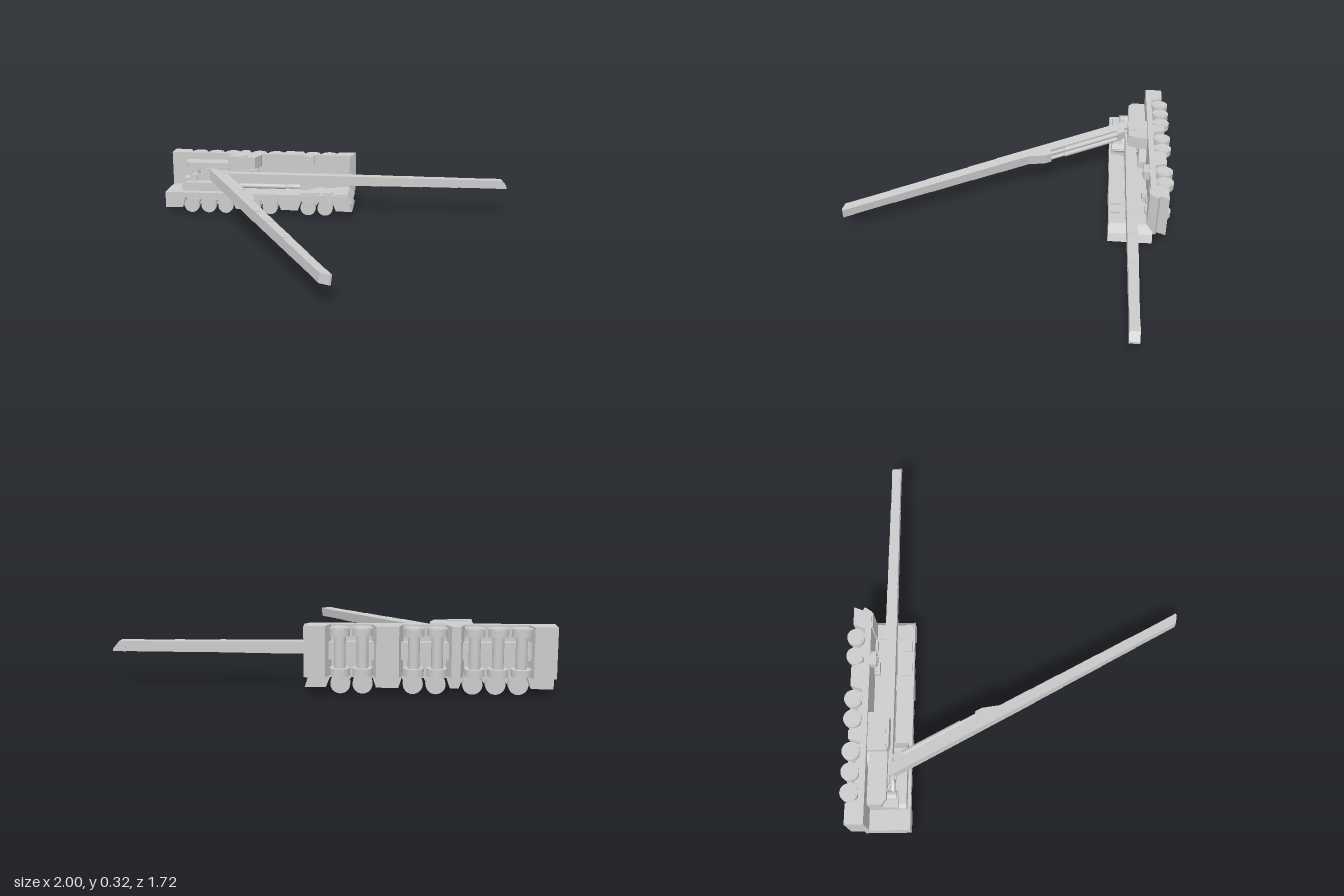
import * as THREE from 'three';

const grey = new THREE.MeshStandardMaterial({ color: 0xcccccc, flatShading: true });
const smooth = new THREE.MeshStandardMaterial({ color: 0xcccccc });

function add(parent, name, geometry, material = grey) {
  const mesh = new THREE.Mesh(geometry, material);
  mesh.name = name;
  parent.add(mesh);
  return mesh;
}

// Box given by its limits on each axis
function box(parent, name, [x0, x1], [y0, y1], [z0, z1]) {
  const mesh = add(parent, name, new THREE.BoxGeometry(x1 - x0, y1 - y0, z1 - z0));
  mesh.position.set((x0 + x1) / 2, (y0 + y1) / 2, (z0 + z1) / 2);
  return mesh;
}

// Side outline extruded across the width from z0 to z1
function plate(parent, name, points, z0, z1) {
  const shape = new THREE.Shape(points.map(([x, y]) => new THREE.Vector2(x, y)));
  const mesh = add(parent, name, new THREE.ExtrudeGeometry(shape, { depth: z1 - z0, bevelEnabled: false }));
  mesh.position.z = z0;
  return mesh;
}

// Cylinder between two points
function rod(parent, name, a, b, radius, sides = 16) {
  const start = new THREE.Vector3(...a), end = new THREE.Vector3(...b);
  const dir = end.clone().sub(start);
  const mesh = add(parent, name, new THREE.CylinderGeometry(radius, radius, dir.length(), sides), smooth);
  mesh.position.copy(start).add(end).multiplyScalar(0.5);
  mesh.quaternion.setFromUnitVectors(new THREE.Vector3(0, 1, 0), dir.normalize());
  return mesh;
}

function makeCarrier() {
  const carrier = new THREE.Group();
  carrier.name = 'carrier';

  // Hull with three wheel wells and a sloped windscreen
  plate(carrier, 'hull', [
    [-1, 0.03], [-0.9, 0.03], [-0.88, 0.092], [-0.6, 0.092], [-0.58, 0.03],
    [-0.54, 0.03], [-0.52, 0.092], [-0.33, 0.092], [-0.31, 0.03],
    [-0.21, 0.03], [-0.19, 0.092], [-0.01, 0.092], [0.015, 0.03],
    [0.11, 0.03], [0.092, 0.075], [0.11, 0.085], [0.085, 0.122], [-1, 0.122],
  ], -0.115, 0.115);
  plate(carrier, 'driverCabRoof', [[0, 0.12], [0.085, 0.12], [0.08, 0.128], [0, 0.128]], -0.107, 0.107);

  // Spine between the wheels
  box(carrier, 'spine', [-0.9, 0], [0.06, 0.1], [-0.04, 0.04]);

  // Axles with a wheel at each end
  for (const x of [-0.845, -0.743, -0.641, -0.477, -0.375, -0.15, -0.05]) {
    rod(carrier, 'axle', [x, 0.045, -0.08], [x, 0.045, 0.08], 0.026);
    for (const s of [-1, 1]) {
      rod(carrier, 'wheel', [x, 0.045, s * 0.072], [x, 0.045, s * 0.106], 0.045, 28);
      rod(carrier, 'hub', [x, 0.045, s * 0.1], [x, 0.045, s * 0.109], 0.037, 28);
    }
  }

  // Deck fittings behind the driver cab
  box(carrier, 'deckLocker', [-0.2, -0.13], [0.12, 0.152], [-0.11, -0.06]);
  box(carrier, 'deckLockerLid', [-0.185, -0.15], [0.152, 0.158], [-0.095, -0.07]);
  box(carrier, 'deckTray', [-0.2, -0.09], [0.12, 0.132], [0.05, 0.105]);
  box(carrier, 'deckStep', [-0.07, -0.01], [0.12, 0.135], [0.055, 0.105]);
  return carrier;
}

function makeSuperstructure() {
  const body = new THREE.Group();
  body.name = 'superstructure';

  rod(body, 'slewRing', [-0.64, 0.12, 0], [-0.64, 0.14, 0], 0.08, 28);
  plate(body, 'turntable', [[-0.89, 0.128], [-0.58, 0.128], [-0.56, 0.16], [-0.9, 0.16]], -0.07, 0.09);
  plate(body, 'sideLocker', [[-0.9, 0.13], [-0.57, 0.13], [-0.57, 0.165], [-0.6, 0.18], [-0.88, 0.18], [-0.9, 0.165]], 0.035, 0.1);

  // Frame cheeks on both sides of the boom foot
  for (const s of [-1, 1]) {
    const z = s * 0.037;
    plate(body, 'boomCheek', [[-0.86, 0.15], [-0.6, 0.15], [-0.66, 0.2], [-0.72, 0.232], [-0.78, 0.232], [-0.86, 0.2]],
      z - 0.007, z + 0.007);
  }
  rod(body, 'boomPin', [-0.75, 0.2, -0.05], [-0.75, 0.2, 0.05], 0.014);

  // Engine housing, rear weight and winch
  plate(body, 'engineHousing', [[-0.9, 0.13], [-0.62, 0.13], [-0.62, 0.222], [-0.87, 0.222], [-0.9, 0.2]], -0.075, -0.043);
  box(body, 'rearWeight', [-0.9, -0.83], [0.13, 0.195], [-0.06, 0.06]);
  rod(body, 'winch', [-0.84, 0.195, -0.03], [-0.84, 0.195, 0.055], 0.024);

  // Operator cab with sloped windscreen
  plate(body, 'operatorCab', [[-0.64, 0.125], [-0.45, 0.125], [-0.45, 0.165], [-0.475, 0.23], [-0.62, 0.23], [-0.64, 0.22]],
    -0.115, -0.046);
  box(body, 'cabRoofRail', [-0.64, -0.53], [0.18, 0.215], [-0.12, -0.11]);
  return body;
}

// Telescopic boom running along +x from its pivot
function makeBoom() {
  const boom = new THREE.Group();
  boom.name = 'boom';

  // Nested sections, each slightly slimmer than the last
  const ends = [-0.03, 0.85, 1.02, 1.26, 1.47, 1.69];
  for (let i = 0; i < ends.length - 1; i++) {
    const h = 0.0285 - i * 0.0012, w = 0.029 - i * 0.0013;
    box(boom, 'boomSection', [ends[i], ends[i + 1]], [-0.007 - h, -0.007 + h], [-w, w]);
  }
  plate(boom, 'boomHead', [[1.69, -0.031], [1.75, -0.031], [1.75, -0.02], [1.72, 0.016], [1.69, 0.016]], -0.025, 0.025);

  // Bracket beneath the boom and the twin lifting rams it carries
  plate(boom, 'ramBracket', [[0.54, -0.03], [0.55, -0.068], [0.59, -0.068], [0.68, -0.034], [0.68, -0.03]], -0.029, 0.029);
  for (const s of [-1, 1]) {
    const z = s * 0.017;
    rod(boom, 'ramBarrel', [0.1, -0.053, z], [0.46, -0.053, z], 0.014);
    rod(boom, 'ramRod', [0.46, -0.053, z], [0.56, -0.053, z], 0.009);
  }
  box(boom, 'ramFoot', [0.08, 0.13], [-0.068, -0.03], [-0.033, 0.033]);
  return boom;
}

function makeCrane(name, lift, slew) {
  const crane = new THREE.Group();
  crane.name = name;
  crane.add(makeCarrier(), makeSuperstructure());

  // The boom turns about the slew centre and lifts about its pin
  const turn = new THREE.Group();
  turn.name = 'boomTurn';
  turn.position.set(-0.64, 0.2, 0);
  turn.rotation.y = slew;
  const boom = makeBoom();
  boom.position.x = -0.11;
  boom.rotation.z = lift;
  turn.add(boom);
  crane.add(turn);
  return crane;
}

export function createModel() {
  const model = new THREE.Group();
  model.name = 'mobileCranes';

  // One crane stands level, the other lies on its side with its boom raised
  const upright = makeCrane('uprightCrane', 0, 0);
  upright.position.z = -0.655;
  const tipped = makeCrane('tippedCrane', THREE.MathUtils.degToRad(61), -0.115);
  tipped.rotation.x = Math.PI / 2;
  tipped.position.set(0, 0.205, -0.865);
  model.add(upright, tipped);
  return model;
}
